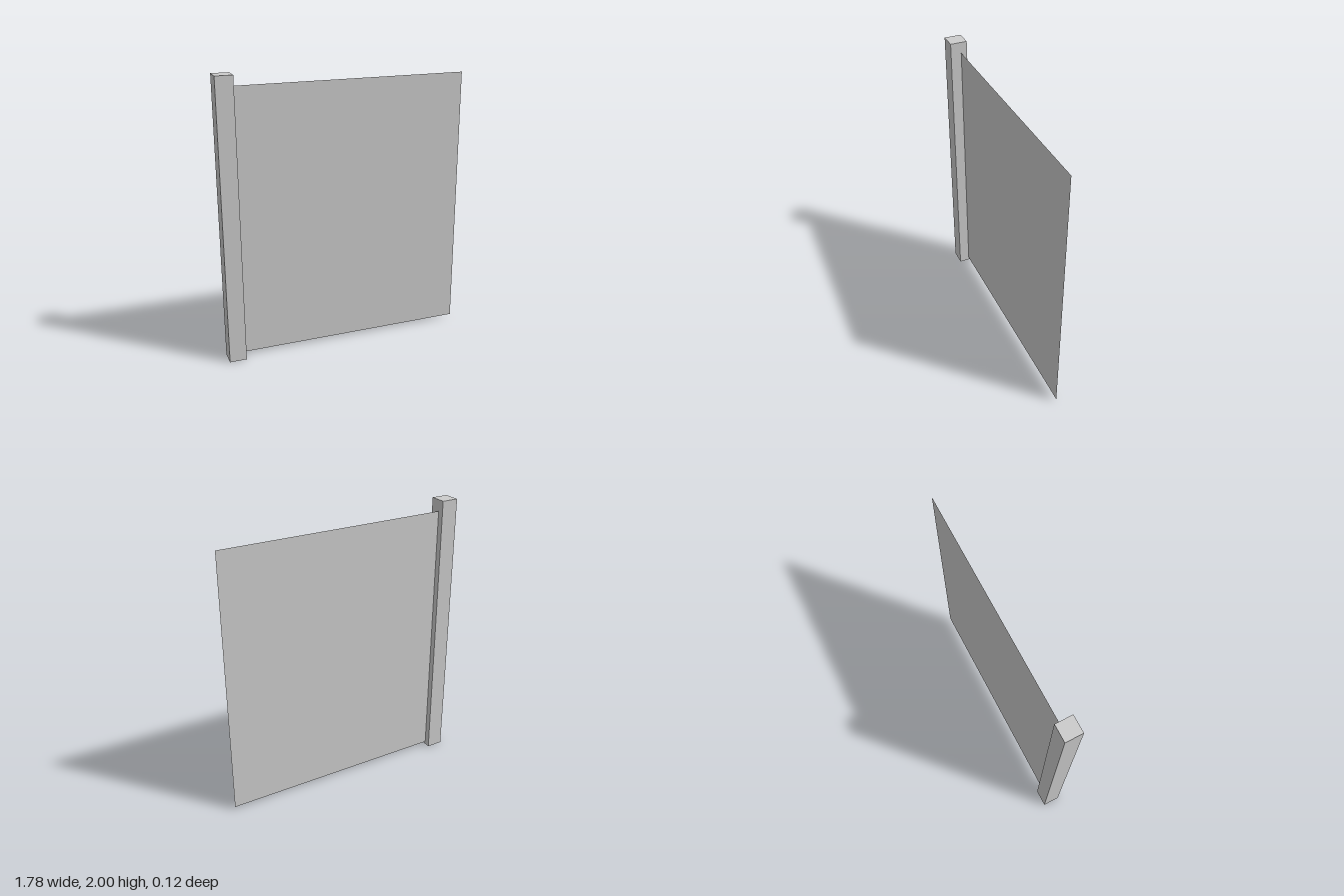
import * as THREE from 'three';

export function createModel() {
  const group = new THREE.Group();
  const material = new THREE.MeshStandardMaterial({ color: 0xcccccc, flatShading: true, side: THREE.DoubleSide });

  const add = (name, geometry, x, y, z) => {
    const mesh = new THREE.Mesh(geometry, material);
    mesh.name = name;
    mesh.position.set(x, y, z);
    group.add(mesh);
  };

  // Square upright post
  add('post', new THREE.BoxGeometry(0.12, 2, 0.12), -0.828, 1, 0);

  // Thin sheet running from the post's side face
  add('panel', new THREE.PlaneGeometry(1.656, 1.9), 0.06, 0.97, -0.016);

  return group;
}
